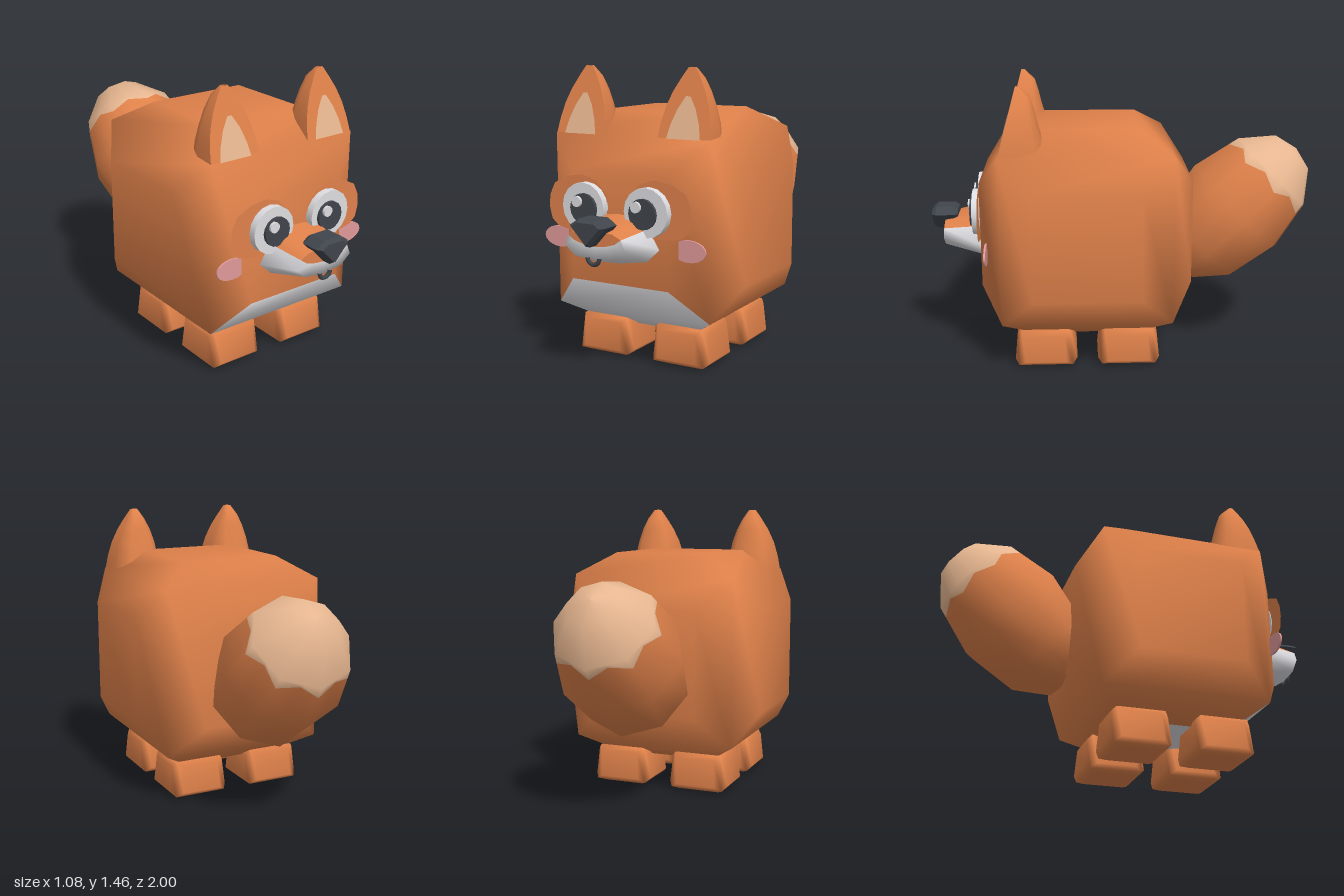
import * as THREE from 'three';
import { mergeVertices } from 'three/addons/utils/BufferGeometryUtils.js';

const mat = (name, color, side = THREE.FrontSide) => {
  const m = new THREE.MeshStandardMaterial({ color, side });
  m.name = name;
  return m;
};

export function createModel() {
  const orange = mat('orange fur', 0xdf814a, THREE.DoubleSide);
  const white = mat('white fur', 0xdedee2, THREE.DoubleSide);
  const tan = mat('pale tan fur', 0xe6b690, THREE.DoubleSide);
  const dark = mat('dark grey', 0x40454c);
  const pink = mat('pink', 0xe29a9a);

  const root = new THREE.Group();
  root.name = 'fox';
  const add = (name, geometry, material, x = 0, y = 0, z = 0) => {
    const mesh = new THREE.Mesh(geometry, material);
    mesh.name = name;
    mesh.position.set(x, y, z);
    root.add(mesh);
    return mesh;
  };
  const shapeOf = pts => new THREE.Shape(pts.map(p => new THREE.Vector2(p[0], p[1])));
  // Disc facing the front
  const disc = (r, depth, sides = 16) =>
    new THREE.CylinderGeometry(r, r, depth, sides).rotateX(Math.PI / 2);

  // Cube whose six faces bulge outward; group 0 is the coat, group 1 the belly
  const corners = [[-1, -1], [1, -1], [1, 1], [-1, 1]];
  const bulgedCube = (inset, corner) => {
    const coat = [], belly = [];
    for (let axis = 0; axis < 3; axis++) for (const sign of [1, -1]) {
      let u = (axis + 1) % 3, v = (axis + 2) % 3;
      if (sign < 0) [u, v] = [v, u];
      const point = ([a, b], size, h) => {
        const p = [0, 0, 0];
        p[axis] = sign * h; p[u] = a * size; p[v] = b * size;
        return p;
      };
      const inner = corners.map(c => point(c, inset, 1));
      const outer = corners.map(c => point(c, corner, corner));
      const quad = (isBelly, a, b, c, d) =>
        (isBelly ? belly : coat).push(...a, ...b, ...c, ...a, ...c, ...d);
      const front = axis === 2 && sign > 0, bottom = axis === 1 && sign < 0;
      quad(bottom, ...inner);
      for (let k = 0; k < 4; k++) {
        const n = (k + 1) % 4;
        quad((front && k === 0) || (bottom && k === 2), outer[k], outer[n], inner[n], inner[k]);
      }
    }
    const geo = new THREE.BufferGeometry();
    geo.setAttribute('position', new THREE.Float32BufferAttribute([...coat, ...belly], 3));
    geo.addGroup(0, coat.length / 3, 0);
    geo.addGroup(coat.length / 3, belly.length / 3, 1);
    return mergeVertices(geo);
  };

  // Body with white belly
  const bodyGeo = bulgedCube(0.5, 0.8).scale(0.54, 0.54, 0.54);
  bodyGeo.computeVertexNormals();
  add('body', bodyGeo, [orange, white], 0, 0.7, 0.19);

  // Feet: small bulged blocks, slightly wider at the bottom
  const footGeo = bulgedCube(0.66, 0.86);
  const fp = footGeo.attributes.position;
  for (let i = 0; i < fp.count; i++) {
    const y = fp.getY(i), r = 0.154 - 0.01 * y;
    fp.setXYZ(i, fp.getX(i) * r, y * 0.1065, fp.getZ(i) * r);
  }
  footGeo.computeVertexNormals();
  for (const s of [-1, 1]) for (const [where, z] of [['front', 0.408], ['back', -0.022]])
    add(where + (s > 0 ? 'LeftFoot' : 'RightFoot'), footGeo, [orange, orange], s * 0.217, 0.1065, z);

  // Tail: tilted eight-sided bulb, split by a zigzag row into base and pale tip
  const tailPart = (name, profile, zigRow, material) => {
    const geo = new THREE.LatheGeometry(profile.map(p => new THREE.Vector2(...p)), 16);
    const p = geo.attributes.position, rows = profile.length;
    for (let i = 0; i < p.count; i++) {
      const odd = Math.floor(i / rows) % 2;
      let f = odd ? Math.cos(Math.PI / 8) : 1;
      if (i % rows === zigRow) {
        p.setY(i, odd ? 0.248 : 0.208);
        f *= odd ? 0.264 / 0.273 : 1;
      }
      p.setX(i, p.getX(i) * f);
      p.setZ(i, p.getZ(i) * f);
    }
    add(name, geo, material, 0, 0.76, -0.615).rotation.x = -Math.PI / 4;
  };
  tailPart('tailBase', [[0, -0.45], [0.134, -0.43], [0.27, -0.268], [0.32, 0], [0.273, 0.208]], 4, orange);
  tailPart('tailTip', [[0.273, 0.208], [0.26, 0.265], [0.13, 0.415], [0, 0.445]], 0, tan);

  // Ears: flat leaning front, rounded back, pale inner plate; rows are height, half width, depth
  const earRows = [[1.13, 0.14, 0.23], [1.2, 0.132, 0.2], [1.28, 0.114, 0.155],
    [1.35, 0.086, 0.12], [1.41, 0.052, 0.085], [1.46, 0.02, 0.02], [1.462, 0, 0]];
  const lean = y => 0.62 - (y - 1.13) * 0.27;
  const mirrored = half => [...half, ...half.slice().reverse().map(([x, y]) => [-x, y])];
  const leanShape = (half, lift) => {
    const geo = new THREE.ShapeGeometry(shapeOf(mirrored(half)));
    const p = geo.attributes.position;
    for (let i = 0; i < p.count; i++) p.setZ(i, lean(p.getY(i)) + lift);
    geo.computeVertexNormals();
    return geo;
  };
  const soft = t => Math.sign(t) * Math.abs(t) ** 0.7;
  const earOutline = earRows.slice(0, 6).map(([y, w]) => [w, y]);
  const innerOutline = [[0.09, 1.132], [0.075, 1.2], [0.048, 1.27], [0.012, 1.328]];
  const patch = [[0.4, 0.78], [0.395, 0.84], [0.365, 0.9], [0.29, 0.937], [0.2, 0.95], [0.12, 0.925],
    [0.06, 0.86], [0.06, 0.74], [0.12, 0.685], [0.2, 0.672], [0.3, 0.678], [0.35, 0.69], [0.385, 0.72]];

  for (const s of [-1, 1]) {
    const side = s > 0 ? 'left' : 'right';
    const back = new THREE.PlaneGeometry(1, 1, 8, earRows.length - 1);
    const p = back.attributes.position;
    for (let i = 0; i < p.count; i++) {
      const a = (p.getX(i) + 0.5) * Math.PI;
      const [y, w, d] = earRows[Math.round((p.getY(i) + 0.5) * (earRows.length - 1))];
      p.setXYZ(i, w * soft(Math.cos(a)), y, lean(y) - d * soft(Math.sin(a)));
    }
    back.computeVertexNormals();
    add(side + 'EarBack', back, orange, s * 0.29);
    add(side + 'EarFront', leanShape(earOutline, 0), orange, s * 0.29);
    add(side + 'InnerEar', leanShape(innerOutline, 0.004), tan, s * 0.29);

    // Eye patch, eye, pupil, highlight and cheek
    add(side + 'EyePatch', new THREE.ShapeGeometry(shapeOf(patch.map(([x, y]) => [s * x, y]))),
      orange, 0, 0, 0.733);
    add(side + 'Eye', disc(0.118, 0.04), white, s * 0.175, 0.8, 0.75);
    add(side + 'Pupil', disc(0.073, 0.02), dark, s * 0.165, 0.795, 0.776);
    add(side + 'EyeHighlight', disc(0.027, 0.014, 10), white, s * 0.165 - 0.028, 0.828, 0.793);
    add(side + 'Cheek', disc(1, 0.009, 20), pink, s * 0.365, 0.627, 0.698).scale.set(0.09, 0.053, 1);
  }

  // Muzzle: tapering loft, orange bridge above and rounded white jaw below
  const backHalf = [[0, 0.78], [0.12, 0.77], [0.17, 0.72], [0.23, 0.62], [0.16, 0.555], [0, 0.53]];
  const frontHalf = [[0, 0.73], [0.1, 0.722], [0.145, 0.7], [0.165, 0.65], [0.11, 0.605], [0, 0.59]];
  const flip = pts => pts.map(([x, y]) => [-x, y]);
  const top = h => [...h.slice(1, 3).reverse(), h[0], ...flip(h.slice(1, 3))];
  const jaw = h => [...flip(h.slice(2, 5)), h[5], ...h.slice(2, 5).reverse()];
  const seamHalf = [[0.145, 0.7], [0.11, 0.675], [0.055, 0.66]];
  const seam = [...flip(seamHalf), [0, 0.655], ...seamHalf.slice().reverse()];
  const loft = rows => {
    const n = rows[0][0].length, index = [];
    const pos = rows.flatMap(([pts, z]) => pts.flatMap(q => [...q, z]));
    for (let r = 0; r < rows.length - 1; r++) for (let i = 0; i < n - 1; i++) {
      const k = r * n + i;
      index.push(k, k + 1, k + n + 1, k, k + n + 1, k + n);
    }
    const geo = new THREE.BufferGeometry();
    geo.setAttribute('position', new THREE.Float32BufferAttribute(pos, 3));
    geo.setIndex(index);
    geo.computeVertexNormals();
    return geo;
  };
  add('muzzleBridge', loft([[top(backHalf), 0.71], [top(frontHalf), 0.93]]), orange);
  add('muzzleFront', new THREE.ShapeGeometry(
    shapeOf([...top(frontHalf), ...seam.slice(1, -1)])), orange, 0, 0, 0.93);
  add('jaw', loft([[jaw(backHalf), 0.71], [jaw(frontHalf), 0.93], [seam, 0.93]]), white);

  // Nose: bevelled wedge pointing down
  const nose = new THREE.ExtrudeGeometry(
    shapeOf([[-0.05, 0.79], [-0.098, 0.757], [-0.012, 0.663], [0.012, 0.663], [0.098, 0.757], [0.05, 0.79]]),
    { depth: 0.09, bevelThickness: 0.022, bevelSize: 0.015, bevelOffset: -0.015, bevelSegments: 1 });
  add('nose', nose, dark, 0, 0, 0.888);

  // Smiling mouth
  const mouth = new THREE.TorusGeometry(0.033, 0.011, 6, 12, Math.PI).rotateZ(Math.PI);
  add('mouth', mouth, dark, 0, 0.606, 0.937);

  return root;
}
